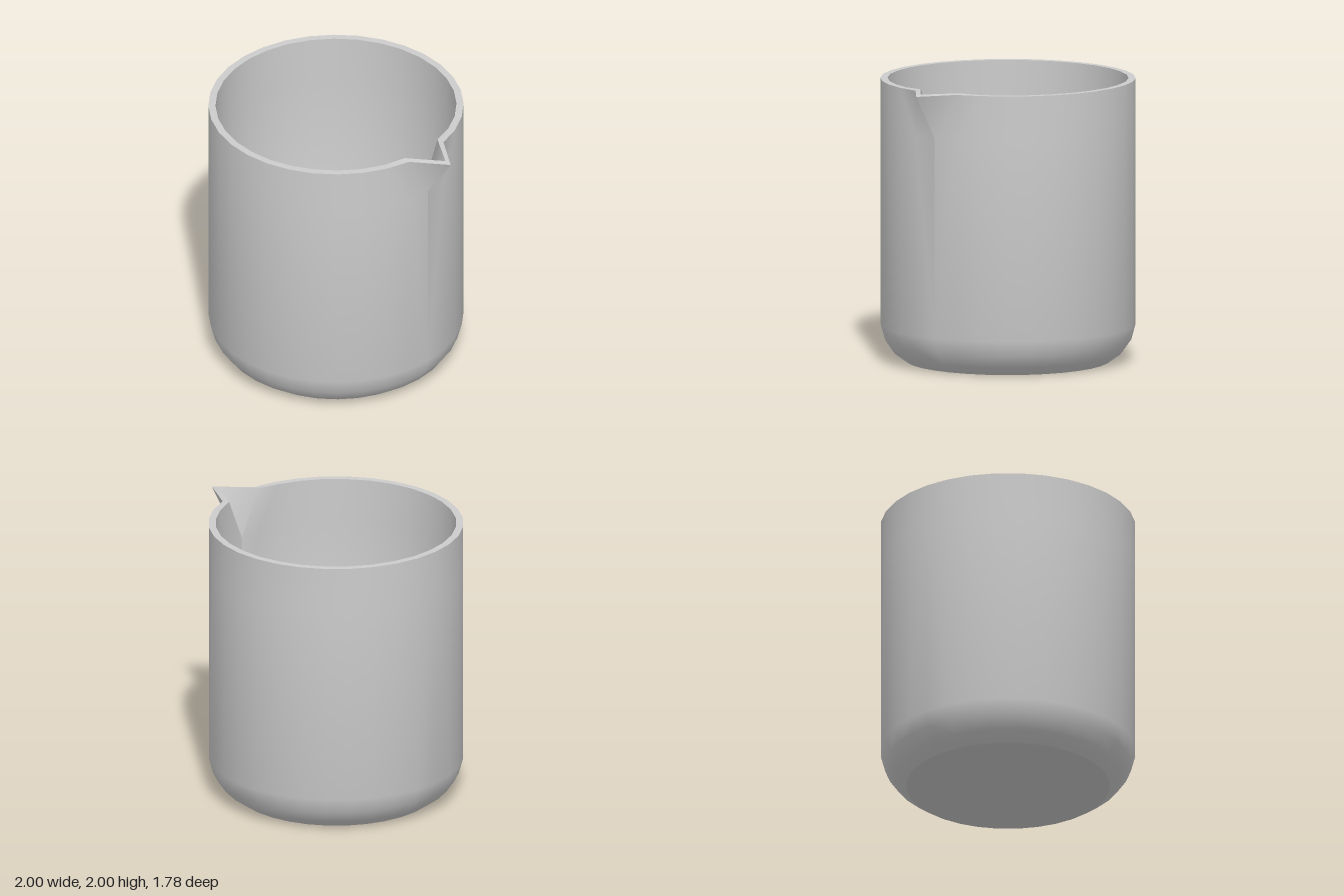
import * as THREE from 'three';
import { toCreasedNormals } from 'three/addons/utils/BufferGeometryUtils.js';

const SIDES = 32;
const CENTRE_X = -0.11;
const FLOOR_Y = 0.05;

// Wall profile [radius, height]: up the outside, over the rim, down the inside
const PROFILE = [
  [0.71, 0], [0.8, 0.065], [0.86, 0.15], [0.89, 0.26], [0.89, 1.67], [0.89, 1.99],
  [0.84, 1.99], [0.84, 1.67], [0.84, 0.28], [0.81, 0.19], [0.76, 0.11], [0.695, FLOOR_Y],
];
const OUTER_TOP = 5, INNER_TOP = 6;

function wallPoint(row, col) {
  const i = col % SIDES;
  const [r, y] = PROFILE[row];
  // Pull the rim out to a point for the pouring lip
  if (i === 0 && row === OUTER_TOP) return [1, 1.99, 0];
  if (i === 0 && row === INNER_TOP) return [0.95, 2, 0];
  const lift = row === INNER_TOP && (i === 1 || i === SIDES - 1) ? 0.005 : 0;
  const a = (i / SIDES) * Math.PI * 2;
  return [CENTRE_X + r * Math.cos(a), y + lift, r * Math.sin(a)];
}

function wallGeometry() {
  const positions = [];
  const tri = (...points) => points.forEach((p) => positions.push(...p));
  for (let j = 0; j < PROFILE.length - 1; j++) {
    for (let i = 0; i < SIDES; i++) {
      const a = wallPoint(j, i), b = wallPoint(j + 1, i);
      const c = wallPoint(j, i + 1), d = wallPoint(j + 1, i + 1);
      // Mirror the diagonals so that the lip folds along its centre line
      if ((i < SIDES / 2) !== (j >= INNER_TOP)) {
        tri(a, b, d);
        tri(a, d, c);
      } else {
        tri(a, b, c);
        tri(b, d, c);
      }
    }
  }
  const geometry = new THREE.BufferGeometry();
  geometry.setAttribute('position', new THREE.Float32BufferAttribute(positions, 3));
  return toCreasedNormals(geometry, 1.05);
}

export function createModel() {
  const group = new THREE.Group();
  group.name = 'beaker';
  const grey = new THREE.MeshStandardMaterial({ color: 0xcccccc });
  grey.name = 'light grey';

  // Double wall with rim and pouring lip
  const wall = new THREE.Mesh(wallGeometry(), grey);
  wall.name = 'wallWithSpout';
  group.add(wall);

  // Flat discs closing the base and the inside floor
  const addDisc = (name, radius, y, facing) => {
    const disc = new THREE.Mesh(new THREE.CircleGeometry(radius, SIDES), grey);
    disc.rotation.x = (-facing * Math.PI) / 2;
    disc.position.set(CENTRE_X, y, 0);
    disc.name = name;
    group.add(disc);
  };
  addDisc('base', 0.71, 0, -1);
  addDisc('insideFloor', 0.695, FLOOR_Y, 1);

  return group;
}
